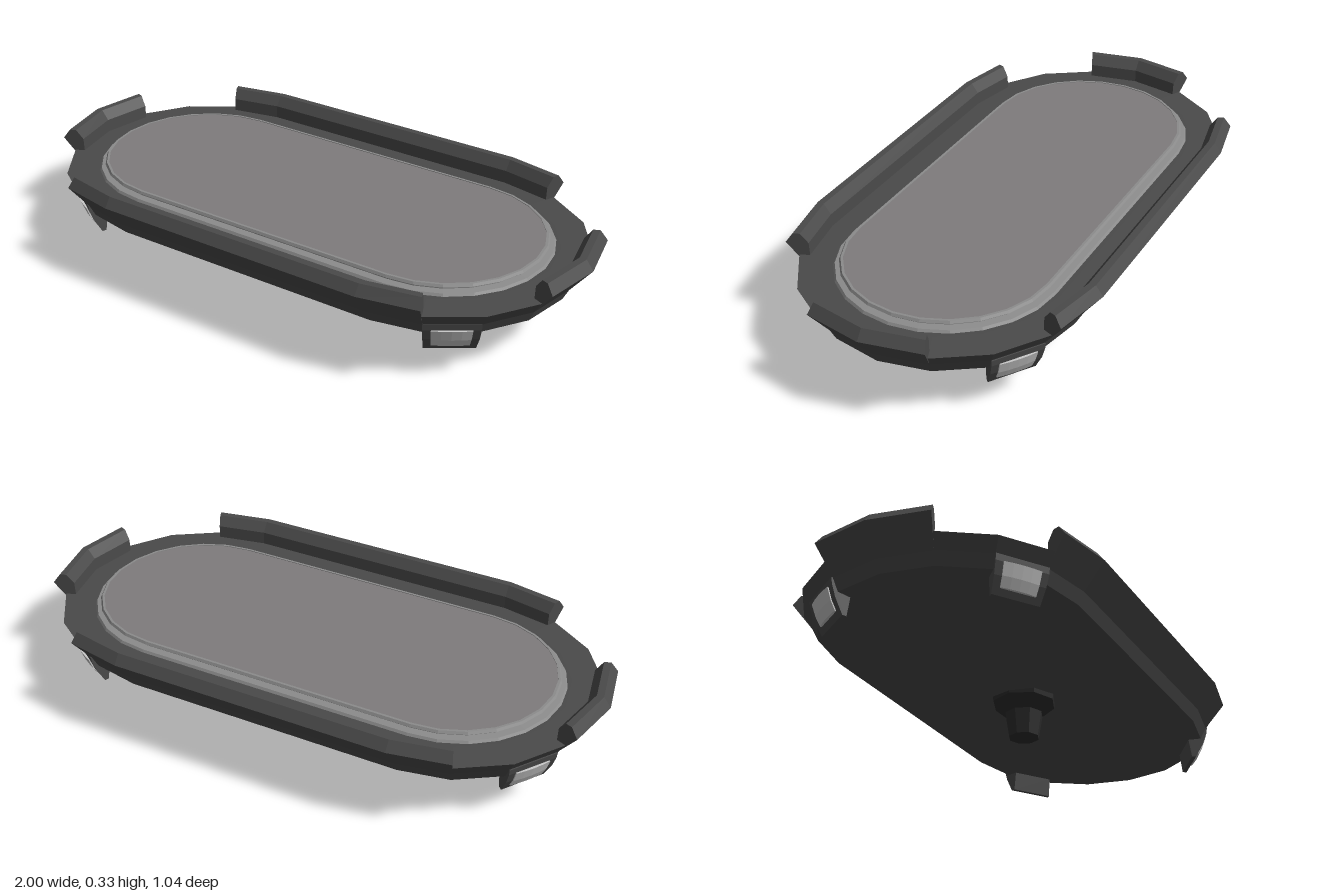
import * as THREE from 'three';

const HALF = 0.48; // half the straight length of the oval
const mat = (name, color) => {
  const m = new THREE.MeshStandardMaterial({ color });
  m.name = name;
  return m;
};

// Sweep a counter-clockwise (radius, y) profile along stations [centreX, degrees], with flat facets.
function sweep(profile, path, { loop = false, closed = true } = {}) {
  const pos = [];
  const rings = path.map(([cx, deg]) => {
    const a = THREE.MathUtils.degToRad(deg);
    return profile.map(([r, y]) => [cx + r * Math.cos(a), y, r * Math.sin(a)]);
  });
  const tri = (...pts) => pts.forEach((p) => pos.push(...p));
  const n = profile.length;
  for (let i = 0; i < (loop ? rings.length : rings.length - 1); i++) {
    const a = rings[i], b = rings[(i + 1) % rings.length];
    for (let j = 0; j < (closed ? n : n - 1); j++) {
      const k = (j + 1) % n;
      tri(a[j], a[k], b[j]);
      tri(a[k], b[k], b[j]);
    }
  }
  if (!loop) {
    const s = rings[0], e = rings[rings.length - 1];
    for (let j = 1; j < n - 1; j++) {
      tri(s[0], s[j + 1], s[j]);
      tri(e[0], e[j], e[j + 1]);
    }
  }
  const g = new THREE.BufferGeometry();
  g.setAttribute('position', new THREE.Float32BufferAttribute(pos, 3));
  g.computeVertexNormals();
  return g;
}

// Stations around the full oval, with the given facets per half circle
function oval(facets) {
  const path = [];
  for (const [cx, start] of [[HALF, -90], [-HALF, 90]])
    for (let i = 0; i <= facets; i++) path.push([cx, start + (180 * i) / facets]);
  return path;
}

export function createModel() {
  const group = new THREE.Group();
  const dark = mat('dark grey shell', 0x4a4a4a);
  const black = mat('black stem', 0x2c2c2c);
  const trim = mat('light trim', 0x8c8c8c);
  const glass = mat('grey panel', 0x7f7c7d);
  const light = mat('pale lamp', 0xc8c8c8);

  const add = (name, geometry, material, turn = 0) => {
    const m = new THREE.Mesh(geometry, material);
    m.name = name;
    m.rotation.y = turn;
    group.add(m);
  };

  // Oval shell with a shallow keel
  add('shell', sweep(
    [[0, 0.13], [0.43, 0.165], [0.45, 0.205], [0.48, 0.25], [0.38, 0.252], [0, 0.25]],
    oval(8), { loop: true, closed: false }), dark);

  // Stepped trim and raised panel
  add('panelTrim', sweep(
    [[0.368, 0.248], [0.36, 0.26], [0.335, 0.262], [0.335, 0.268], [0.346, 0.272], [0.341, 0.28], [0.333, 0.28], [0.333, 0.27]],
    oval(12), { loop: true, closed: false }), trim);
  add('panel', sweep([[0.335, 0.278], [0, 0.278]], oval(12), { loop: true, closed: false }), glass);

  // Raised guard rails: two long sides and two ends
  const rail = [[0.45, 0.205], [0.52, 0.295], [0.495, 0.328], [0.472, 0.328], [0.447, 0.295], [0.445, 0.24]];
  const endPath = [[HALF, -22.5], [HALF, 0], [HALF, 22.5]];
  const sidePath = [[HALF, 67.5], [HALF, 90], [-HALF, 90], [-HALF, 112.5]];
  for (const turn of [0, Math.PI]) {
    add('endRail', sweep(rail, endPath), dark, turn);
    add('sideRail', sweep(rail, sidePath), dark, turn);
  }

  // Corner lamps: each fills one facet below the rim; one sits a facet nearer its end
  const housing = [[0.395, 0.095], [0.41, 0.095], [0.438, 0.145], [0.452, 0.185], [0.455, 0.206], [0.39, 0.206], [0.385, 0.165]];
  const lens = [[0.40, 0.115], [0.422, 0.115], [0.438, 0.145], [0.452, 0.185], [0.42, 0.185]];
  for (const [cx, start] of [[HALF, 45], [-HALF, 112.5], [HALF, -67.5], [-HALF, 202.5]]) {
    add('lampHousing', sweep(housing, [[cx, start], [cx, start + 22.5]]), dark);
    const lensPath = [0, 1, 2, 3, 4].map((i) => [cx, start + 3.25 + i * 4]);
    add('lampLens', sweep(lens, lensPath), light);
  }

  // Flared eight-sided stem
  const around = Array.from({ length: 8 }, (_, i) => [0, i * 45]);
  add('stem', sweep([[0, 0], [0.052, 0], [0.066, 0.085], [0.108, 0.122], [0.112, 0.145]],
    around, { loop: true, closed: false }), black);

  return group;
}
